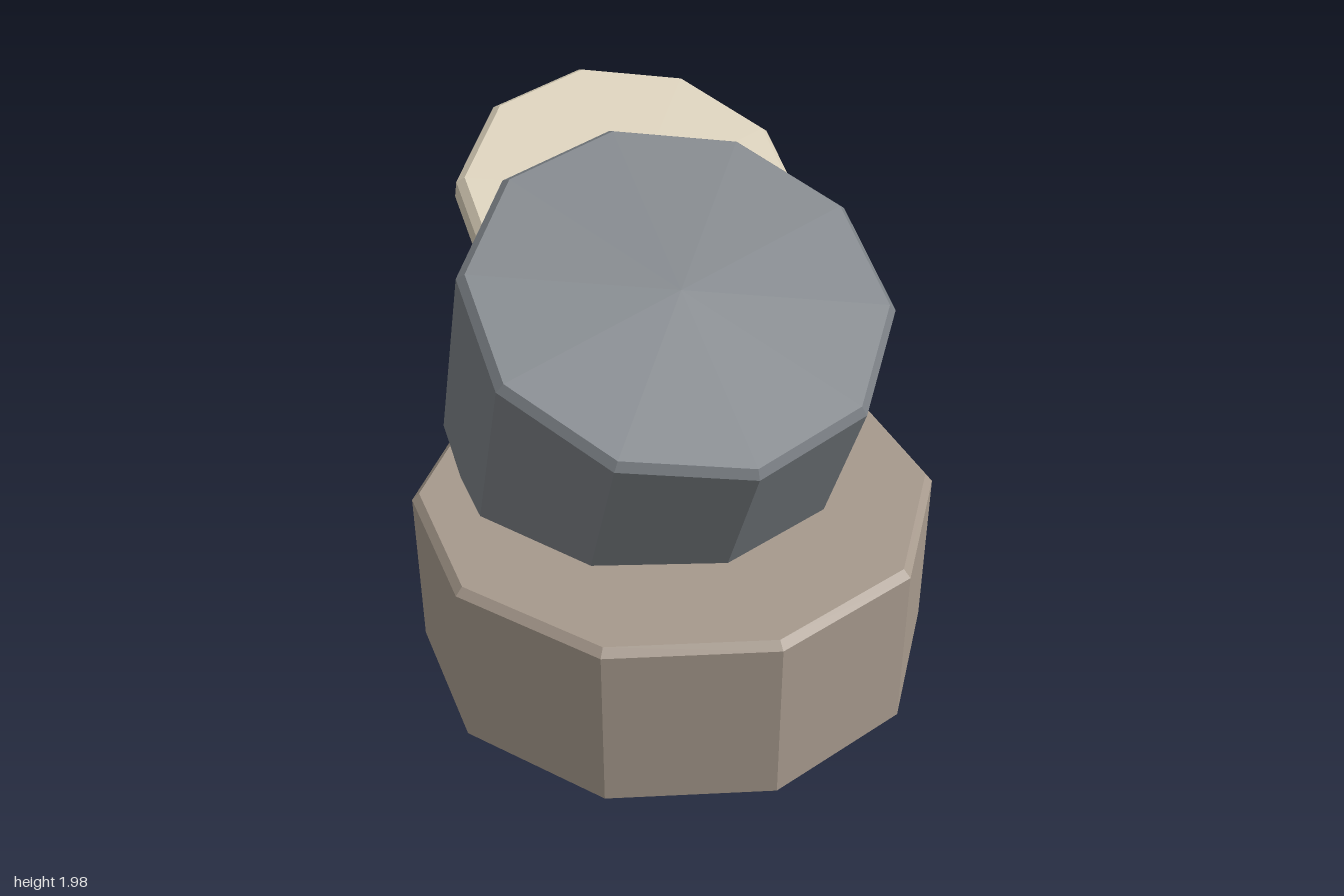
import * as THREE from 'three';

const BEVEL = 0.028;
const TILT = THREE.MathUtils.degToRad(25);

// Ten-sided drum with bevelled rims, centred on its own middle
function bevelledDrum(name, radius, height, material) {
  const h = height / 2;
  const profile = [
    [0, -h], [radius - BEVEL, -h], [radius, -h + BEVEL],
    [radius, h - BEVEL], [radius - BEVEL, h], [0, h],
  ].map(([r, y]) => new THREE.Vector2(r, y));
  const mesh = new THREE.Mesh(new THREE.LatheGeometry(profile, 10), material);
  mesh.name = name;
  return mesh;
}

function flatMaterial(name, color) {
  const material = new THREE.MeshStandardMaterial({ color, flatShading: true });
  material.name = name;
  return material;
}

export function createModel() {
  const model = new THREE.Group();
  model.name = 'tiltedDrumOnBase';

  // Wide base standing on the ground
  const base = bevelledDrum('base', 0.973, 0.696, flatMaterial('warmStone', 0xa6998c));
  base.position.set(0, 0.348, 0.027);

  // Head leaning forward, sunk into the base
  const head = bevelledDrum('head', 0.765, 0.974, flatMaterial('slateGrey', 0x7a7f84));
  head.position.set(0, 1.113, -0.115);
  head.rotation.x = TILT;

  // Thin disc set into the upper back of the head, at the same lean
  const disc = bevelledDrum('backDisc', 0.631, 0.134, flatMaterial('paleCream', 0xd6ccb6));
  disc.position.set(0, 1.665, -0.387);
  disc.rotation.x = TILT;

  model.add(base, head, disc);
  return model;
}
